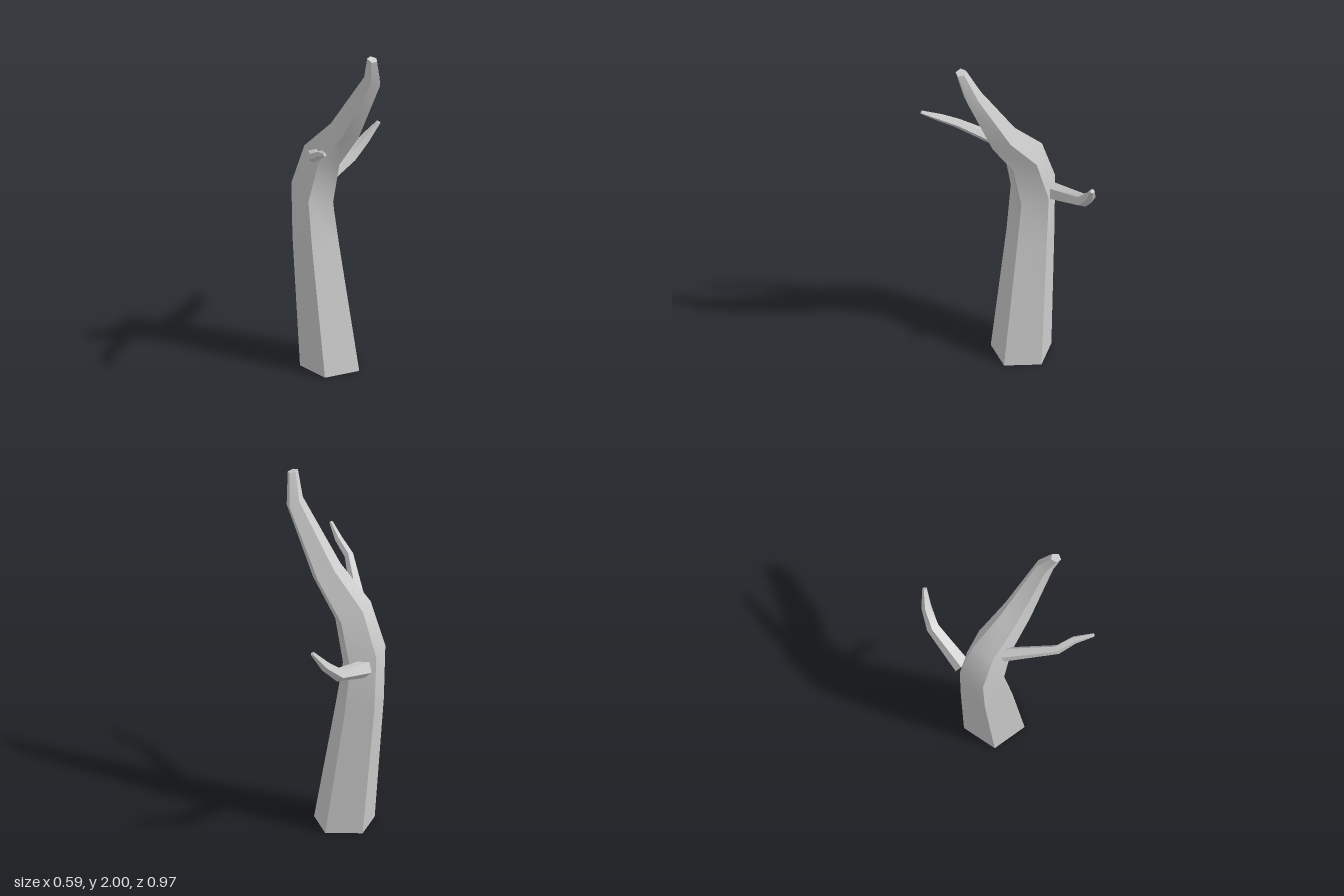
import * as THREE from 'three';
import { toCreasedNormals } from 'three/addons/utils/BufferGeometryUtils.js';

const SIDES = 5;
const angle = (j) => (j / SIDES) * Math.PI * 2;

// Skin a list of five-sided rings and close both ends.
function skin(name, rings) {
  const pos = [];
  const tri = (...pts) => pts.forEach((p) => pos.push(p.x, p.y, p.z));
  const first = rings[0], last = rings[rings.length - 1];
  for (let j = 0; j < SIDES; j++) {
    const k = (j + 1) % SIDES;
    for (let i = 0; i < rings.length - 1; i++) {
      const a = rings[i][j], b = rings[i][k], c = rings[i + 1][k], d = rings[i + 1][j];
      tri(a, d, c);
      tri(a, c, b);
    }
    if (j > 0 && k > 0) {
      tri(first[0], first[j], first[k]);
      tri(last[0], last[k], last[j]);
    }
  }
  const geo = new THREE.BufferGeometry();
  geo.setAttribute('position', new THREE.Float32BufferAttribute(pos, 3));
  geo.computeVertexNormals();
  // Bends along the length stay smooth, the five long edges stay sharp.
  const mesh = new THREE.Mesh(toCreasedNormals(geo, 0.75), new THREE.MeshStandardMaterial({ color: 0xcccccc }));
  mesh.name = name;
  return mesh;
}

// Trunk ring: tilted pentagon from its left flat (lx, ly) to its right corner (rx, ry).
function trunkRing([lx, ly, rx, ry, cz, halfZ]) {
  return Array.from({ length: SIDES }, (_, j) => {
    const t = (Math.cos(angle(j)) + 0.809) / 1.809;
    const z = cz + (halfZ * Math.sin(angle(j))) / 0.951;
    return new THREE.Vector3(lx + (rx - lx) * t, ly + (ry - ly) * t, z);
  });
}

// Branch rings: pentagons square to the path, turned by roll. Points are [x, y, z, radius].
function branchRings(path, roll) {
  const pts = path.map(([x, y, z]) => new THREE.Vector3(x, y, z));
  return pts.map((p, i) => {
    const dir = new THREE.Vector3();
    if (i > 0) dir.add(p.clone().sub(pts[i - 1]).normalize());
    if (i < pts.length - 1) dir.add(pts[i + 1].clone().sub(p).normalize());
    dir.normalize();
    const side = new THREE.Vector3(0, 1, 0).cross(dir).normalize();
    const up = dir.clone().cross(side);
    return Array.from({ length: SIDES }, (_, j) => p.clone()
      .addScaledVector(up, Math.cos(angle(j) + roll) * path[i][3])
      .addScaledVector(side, Math.sin(angle(j) + roll) * path[i][3]));
  });
}

export function createModel() {
  const tree = new THREE.Group();
  tree.name = 'bareTree';

  // Leaning trunk: left x, left y, right x, right y, centre z, half depth
  tree.add(skin('trunk', [
    [-0.225, 0, 0.085, 0, -0.005, 0.163],
    [-0.285, 0.75, -0.04, 0.72, -0.007, 0.129],
    [-0.295, 1.07, -0.08, 0.97, -0.008, 0.122],
    [-0.21, 1.32, -0.03, 1.22, 0.01, 0.105],
    [-0.03, 1.51, 0.11, 1.43, 0.05, 0.08],
    [0.195, 1.86, 0.277, 1.815, 0.102, 0.048],
    [0.238, 2.0, 0.29, 1.985, 0.157, 0.028],
  ].map(trunkRing)));

  // Side branches
  tree.add(skin('frontBranch', branchRings([
    [-0.14, 1.285, 0.095, 0.04],
    [0.005, 1.425, 0.345, 0.026],
    [0.083, 1.485, 0.4, 0.022],
    [0.154, 1.534, 0.482, 0.01],
  ], 0.4)));
  tree.add(skin('backBranch', branchRings([
    [-0.235, 1.005, -0.105, 0.05],
    [-0.17, 1.08, -0.345, 0.038],
    [-0.12, 1.165, -0.423, 0.03],
    [-0.066, 1.257, -0.474, 0.013],
  ], 0.5)));

  return tree;
}
